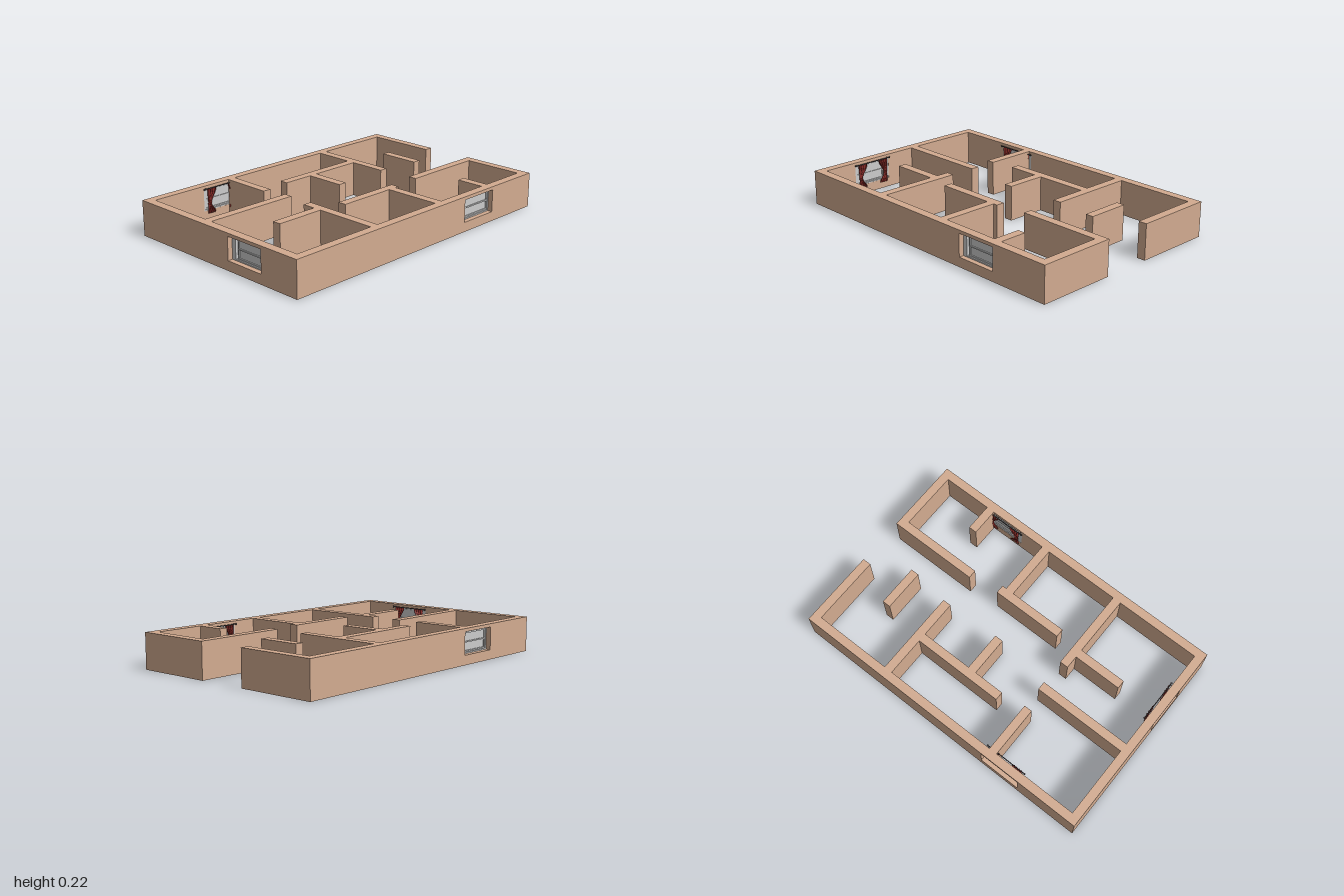
import * as THREE from 'three';

const H = 0.22, T = 0.054;           // wall height and thickness
const WIN = { w: 0.265, y0: 0.06, y1: 0.2 };

const wallMat = new THREE.MeshStandardMaterial({ color: 0xd2ab90 });
const greyMat = new THREE.MeshStandardMaterial({ color: 0xcccccc });
const darkMat = new THREE.MeshStandardMaterial({ color: 0x4a4444 });
const curtainMat = new THREE.MeshStandardMaterial({ color: 0x96302c, side: THREE.DoubleSide });

function add(parent, name, geo, mat, x = 0, y = 0, z = 0) {
  const mesh = new THREE.Mesh(geo, mat);
  mesh.name = name;
  mesh.position.set(x, y, z);
  parent.add(mesh);
  return mesh;
}

function box(parent, name, mat, x0, x1, y0, y1, z0, z1) {
  return add(parent, name, new THREE.BoxGeometry(x1 - x0, y1 - y0, z1 - z0), mat,
    (x0 + x1) / 2, (y0 + y1) / 2, (z0 + z1) / 2);
}

// Upright wall from u0 to u1, with a window opening centred on u = c
function windowWall(u0, u1, c) {
  const shape = new THREE.Shape();
  shape.moveTo(u0, 0).lineTo(u1, 0).lineTo(u1, H).lineTo(u0, H).closePath();
  const a = c - WIN.w / 2, b = c + WIN.w / 2;
  const hole = new THREE.Path();
  hole.moveTo(a, WIN.y0).lineTo(a, WIN.y1).lineTo(b, WIN.y1).lineTo(b, WIN.y0).closePath();
  shape.holes.push(hole);
  return new THREE.ExtrudeGeometry(shape, { depth: T, bevelEnabled: false }).translate(0, 0, -T / 2);
}

// Pleated curtain, gathered by a tie and flaring outward (side = -1 or 1) below it
function curtainGeometry(side) {
  const geo = new THREE.PlaneGeometry(1, 1, 24, 14);
  const p = geo.attributes.position;
  const profile = (t) => {
    const tie = 0.4;
    const k = t > tie ? (t - tie) / (1 - tie) : (tie - t) / tie;
    const s = k * k * (3 - 2 * k);
    return 0.026 + s * (t > tie ? 0.044 : 0.036);
  };
  for (let i = 0; i < p.count; i++) {
    const u = p.getX(i), t = p.getY(i) + 0.5;
    const w = profile(t);
    const pleat = Math.sin(u * Math.PI * 8) * 0.1 * w;
    p.setXYZ(i, u * w + side * (0.07 - w) * 0.4, 0.045 + t * 0.155, pleat);
  }
  geo.computeVertexNormals();
  return geo;
}

// Window with curtains: local +z faces outdoors, x runs along the wall
function createWindow() {
  const g = new THREE.Group();
  g.name = 'window';
  const { y0, y1 } = WIN, h = WIN.w / 2, f = 0.008, ym = (y0 + y1) / 2;

  // Frame lining the inner side of the opening
  const zi = -0.026, zo = -0.004;
  box(g, 'frameBottom', greyMat, -h, h, y0, y0 + f, zi, zo);
  box(g, 'frameTop', greyMat, -h, h, y1 - f, y1, zi, zo);
  box(g, 'frameSideA', greyMat, -h, -h + 0.028, y0 + f, y1 - f, zi, zo);
  box(g, 'frameSideB', greyMat, h - f, h, y0 + f, y1 - f, zi, zo);

  // Sash pane with its rails, left slightly open at one side
  const s0 = -h + 0.042, s1 = h - f;
  box(g, 'pane', greyMat, s0, s1, y0 + f, y1 - f, -0.018, -0.014);
  for (const y of [y0 + 0.014, ym, y1 - 0.014])
    box(g, 'sashRail', greyMat, s0, s1, y - 0.004, y + 0.004, -0.023, -0.008);
  for (const x of [s0 + 0.004, s1 - 0.004])
    box(g, 'sashStile', greyMat, x - 0.004, x + 0.004, y0 + f, y1 - f, -0.023, -0.009);

  // Curtain rod with end knobs
  const zr = -0.038, yr = 0.202;
  add(g, 'curtainRod', new THREE.CylinderGeometry(0.003, 0.003, 0.27, 10), darkMat, 0, yr, zr).rotation.z = Math.PI / 2;
  for (const side of [-1, 1]) {
    add(g, 'rodKnob', new THREE.SphereGeometry(0.006, 10, 8), darkMat, side * 0.135, yr, zr);
    box(g, 'rodBracket', darkMat, side * 0.122 - 0.002, side * 0.122 + 0.002, yr - 0.003, yr + 0.003, zr, -T / 2);
    add(g, 'curtain', curtainGeometry(side), curtainMat, side * 0.08, 0, zr);
    const tie = add(g, 'curtainTie', new THREE.CylinderGeometry(0.014, 0.014, 0.008, 12), curtainMat,
      side * 0.0976, 0.107, zr);
    tie.scale.z = 0.4;
  }
  return g;
}

export function createModel() {
  const model = new THREE.Group();
  model.name = 'housePlan';

  // Outer walls that hold a window: name, span, window centre, position, turn
  const outer = [
    ['frontWall', -1, 1, 0.4875, 0, 0.623, 0],
    ['backWall', -1, 1, 0.46, 0, -0.623, Math.PI],
    ['rightWall', -0.596, 0.596, 0.245, -0.973, 0, -Math.PI / 2],
  ];
  for (const [name, u0, u1, c, x, z, turn] of outer) {
    const g = new THREE.Group();
    g.name = name;
    add(g, name + 'Panel', windowWall(u0, u1, c), wallMat);
    const win = createWindow();
    win.position.x = c;
    g.add(win);
    g.position.set(x, 0, z);
    g.rotation.y = turn;
    model.add(g);
  }

  // Plain walls: name, x0, x1, z0, z1
  const walls = [
    ['leftWallBack', 0.946, 1, -0.596, -0.15],
    ['leftWallFront', 0.946, 1, 0.16, 0.596],
    ['partition', -0.4, -0.348, -0.596, -0.27],
    ['partition', -0.946, -0.348, -0.14, -0.086],
    ['partition', -0.71, -0.4, 0.156, 0.21],
    ['partition', -0.4, -0.346, 0.073, 0.596],
    ['partition', -0.195, 0.391, -0.344, -0.29],
    ['partition', 0.003, 0.057, -0.29, -0.037],
    ['partition', 0.391, 0.445, -0.596, -0.053],
    ['partition', 0.672, 0.725, -0.287, -0.02],
    ['partition', -0.232, 0.225, 0.188, 0.242],
    ['partition', 0.143, 0.197, 0.242, 0.596],
    ['partition', 0.417, 0.946, 0.16, 0.214],
    ['partition', 0.578, 0.631, 0.42, 0.596],
  ];
  for (const [name, x0, x1, z0, z1] of walls) box(model, name, wallMat, x0, x1, 0, H, z0, z1);

  return model;
}
